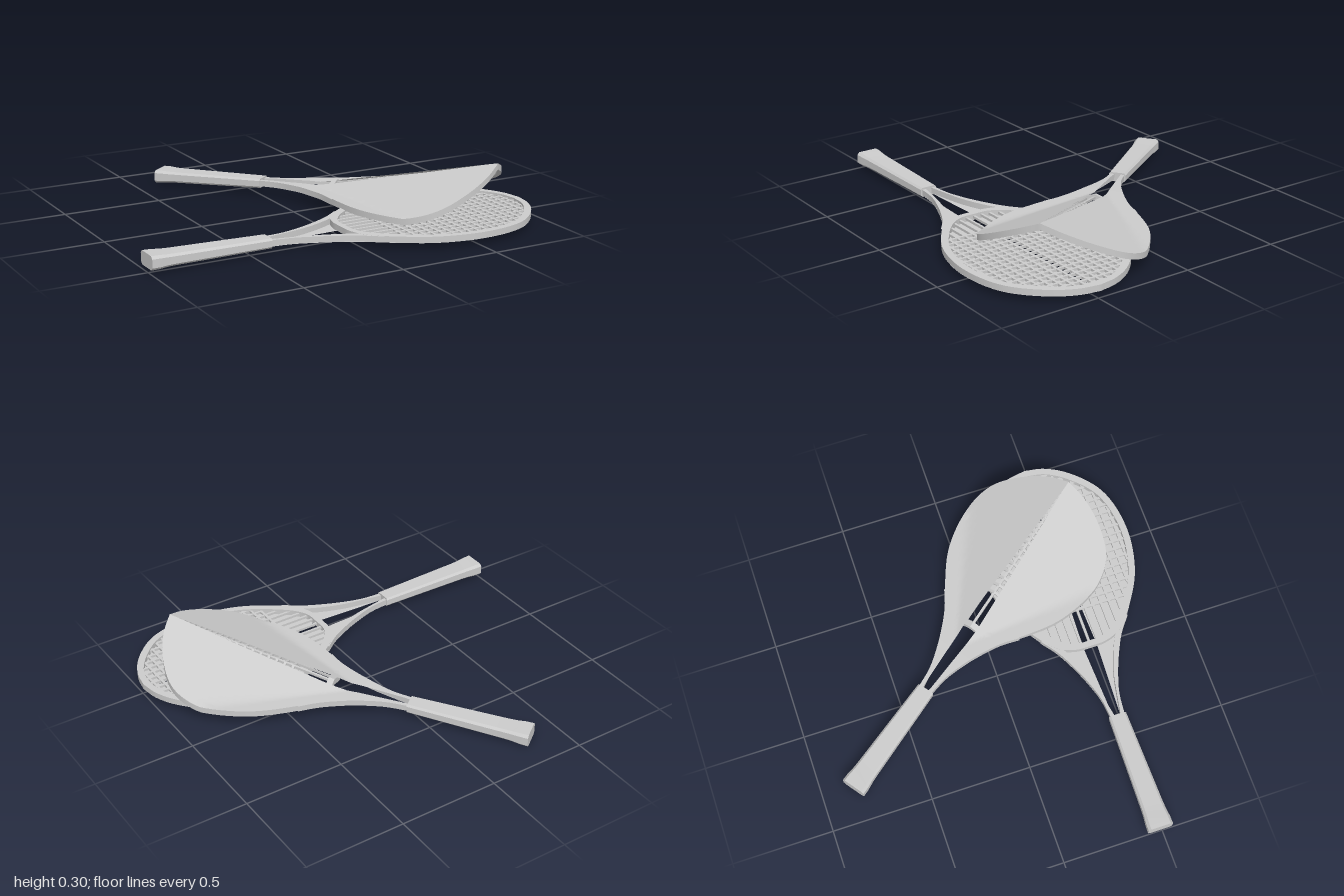
import * as THREE from 'three';
import { mergeGeometries, toCreasedNormals } from 'three/addons/utils/BufferGeometryUtils.js';

// Half outlines as [distance from the butt, half width].
const STRUT_OUT = [[0.58, 0.034], [0.7, 0.047], [0.8, 0.077], [0.9, 0.118], [1.0, 0.17], [1.08, 0.23]];
const STRUT_IN = [[0.58, 0.012], [0.68, 0.03], [0.8, 0.055], [0.9, 0.088], [1.0, 0.135], [1.08, 0.19]];
const HEAD_OUT = [[0.98, 0], [0.984, 0.08], [1.02, 0.165], [1.14, 0.265], [1.3, 0.35], [1.53, 0.39],
  [1.76, 0.345], [1.91, 0.22], [1.98, 0.1], [2.0, 0]];
const HEAD_IN = [[1.01, 0], [1.014, 0.075], [1.05, 0.14], [1.15, 0.228], [1.3, 0.315], [1.53, 0.357],
  [1.75, 0.312], [1.885, 0.195], [1.95, 0.09], [1.967, 0]];
const SHEET_OUT = [...STRUT_OUT.slice(0, 5), ...HEAD_OUT.slice(3)];

const smooth = (pts, n) =>
  new THREE.CatmullRomCurve3(pts.map(([u, v]) => new THREE.Vector3(u, 0, v)), false, 'centripetal')
    .getPoints(n).map((p) => [p.x, p.z]);
const mirror = (pts) => [...pts].reverse().map(([u, v]) => [u, -v]);
const loop = (pts) => [...pts, ...mirror(pts).slice(1)];

// Bar of rectangular section running between two outlines.
function band(outer, inner, half) {
  const pos = [], idx = [];
  outer.forEach(([u, v], i) => {
    const [a, b] = inner[i];
    pos.push(u, half, v, a, half, b, a, -half, b, u, -half, v);
    if (i === 0) return;
    for (let j = 0; j < 4; j++) {
      const k = (j + 1) % 4, p = 4 * (i - 1), q = 4 * i;
      idx.push(p + j, q + j, p + k, p + k, q + j, q + k);
    }
  });
  const g = new THREE.BufferGeometry();
  g.setAttribute('position', new THREE.Float32BufferAttribute(pos, 3));
  g.setIndex(idx);
  return g;
}

// Half of the covering sheet, from the tapering centre slit out to the rim.
function sheetHalf(side, y) {
  const edge = smooth(SHEET_OUT, 72), nv = 16;
  const g = new THREE.PlaneGeometry(1, 1, nv, 72);
  const p = g.attributes.position;
  for (let i = 0; i < p.count; i++) {
    const [u, w] = edge[Math.floor(i / (nv + 1))];
    const slit = u < 0.99 ? 0.017 + (u - 0.58) * 0.044 : Math.max(0, 0.035 * (1.94 - u) / 0.95);
    const s = Math.min(slit, w);
    p.setXYZ(i, u, y, side * (s + (w - s) * (i % (nv + 1)) / nv));
  }
  return g;
}

// Tapered grip with chamfered corners and a flared butt.
function gripGeometry() {
  const c = 0.62;
  const shape = new THREE.Shape([[1, -c], [1, c], [0.8, 1], [-0.8, 1], [-1, c], [-1, -c], [-0.8, -1], [0.8, -1]]
    .map(([x, y]) => new THREE.Vector2(x, y)));
  const g = new THREE.ExtrudeGeometry(shape, { depth: 0.6, steps: 15, bevelEnabled: false });
  g.rotateY(Math.PI / 2);
  const p = g.attributes.position;
  for (let i = 0; i < p.count; i++) {
    const u = p.getX(i), flare = 1 - THREE.MathUtils.smoothstep(u, 0.03, 0.1);
    p.setY(i, p.getY(i) * (0.029 - 0.009 * u + 0.004 * flare));
    p.setZ(i, p.getZ(i) * (0.057 - 0.022 * u + 0.005 * flare));
  }
  return g;
}

// Crossed strings trimmed to the inside of the head.
function stringGeometry() {
  const inner = smooth(HEAD_IN, 120), step = 0.042, t = 0.012, parts = [];
  const widthAt = (u) => {
    const i = inner.findIndex((p) => p[0] >= u);
    return i < 0 ? 0 : inner[i][1];
  };
  for (let k = -8; k <= 8; k++) {
    const v = k * step;
    const us = inner.filter((p) => p[1] >= Math.abs(v)).map((p) => p[0]);
    if (us.length < 2) continue;
    const a = Math.min(...us) - 0.008, b = Math.max(...us) + 0.008;
    parts.push(new THREE.BoxGeometry(b - a, t, t, 24, 1, 1).translate((a + b) / 2, 0, v));
  }
  for (let u = 1.19; u < 1.95; u += step) {
    parts.push(new THREE.BoxGeometry(t, t, 2 * widthAt(u) + 0.016, 1, 1, 32).translate(u, 0, 0));
  }
  return mergeGeometries(parts);
}

// One racket along +x; pose moves each vertex to its final height and length.
function makeRacket(name, sheetSide, pose) {
  const group = new THREE.Group();
  group.name = name;
  const add = (part, geometry, side = THREE.FrontSide) => {
    const p = geometry.attributes.position;
    for (let i = 0; i < p.count; i++) {
      const [u, y] = pose(p.getX(i), p.getZ(i));
      p.setX(i, u);
      p.setY(i, p.getY(i) + y);
    }
    const mesh = new THREE.Mesh(toCreasedNormals(geometry, 0.45),
      new THREE.MeshStandardMaterial({ color: 0xcccccc, side }));
    mesh.name = part;
    group.add(mesh);
  };
  add('grip', gripGeometry());
  add('headFrame', band(loop(smooth(HEAD_OUT, 64)), loop(smooth(HEAD_IN, 64)), 0.015));
  const so = smooth(STRUT_OUT, 20), si = smooth(STRUT_IN, 20);
  add('leftThroatStrut', band(so, si, 0.0145));
  add('rightThroatStrut', band(mirror(so), mirror(si), 0.0145));
  add('strings', stringGeometry());
  for (const s of [1, -1]) {
    add(s > 0 ? 'leftCoverFlap' : 'rightCoverFlap', sheetHalf(s, sheetSide * 0.0156), THREE.DoubleSide);
  }
  return group;
}

export function createModel() {
  const model = new THREE.Group();
  model.name = 'rackets';

  // Lower racket, lying flat with its sheet underneath.
  const lower = makeRacket('lowerRacket', -1, (u) => [u, 0.057 - 0.007 * Math.min(1, u / 0.8)]);
  lower.position.set(-1, 0, 0.487);

  // Upper racket, leaning across it, its head raised to a ridge along the slit.
  const upper = makeRacket('upperRacket', 1, (u, v) => {
    const x = u < 1.5 ? u : 1.5 + (u - 1.5) * 0.68;
    const rise = Math.max(0, 0.212 * (x - 0.85) - 0.36 * Math.abs(v));
    return [x, 0.037 + 0.047 * Math.min(x, 0.85) + rise];
  });
  upper.position.set(-0.335, 0, -0.845);
  upper.rotation.y = -Math.atan2(0.804, 0.595);

  model.add(lower, upper);
  return model;
}
